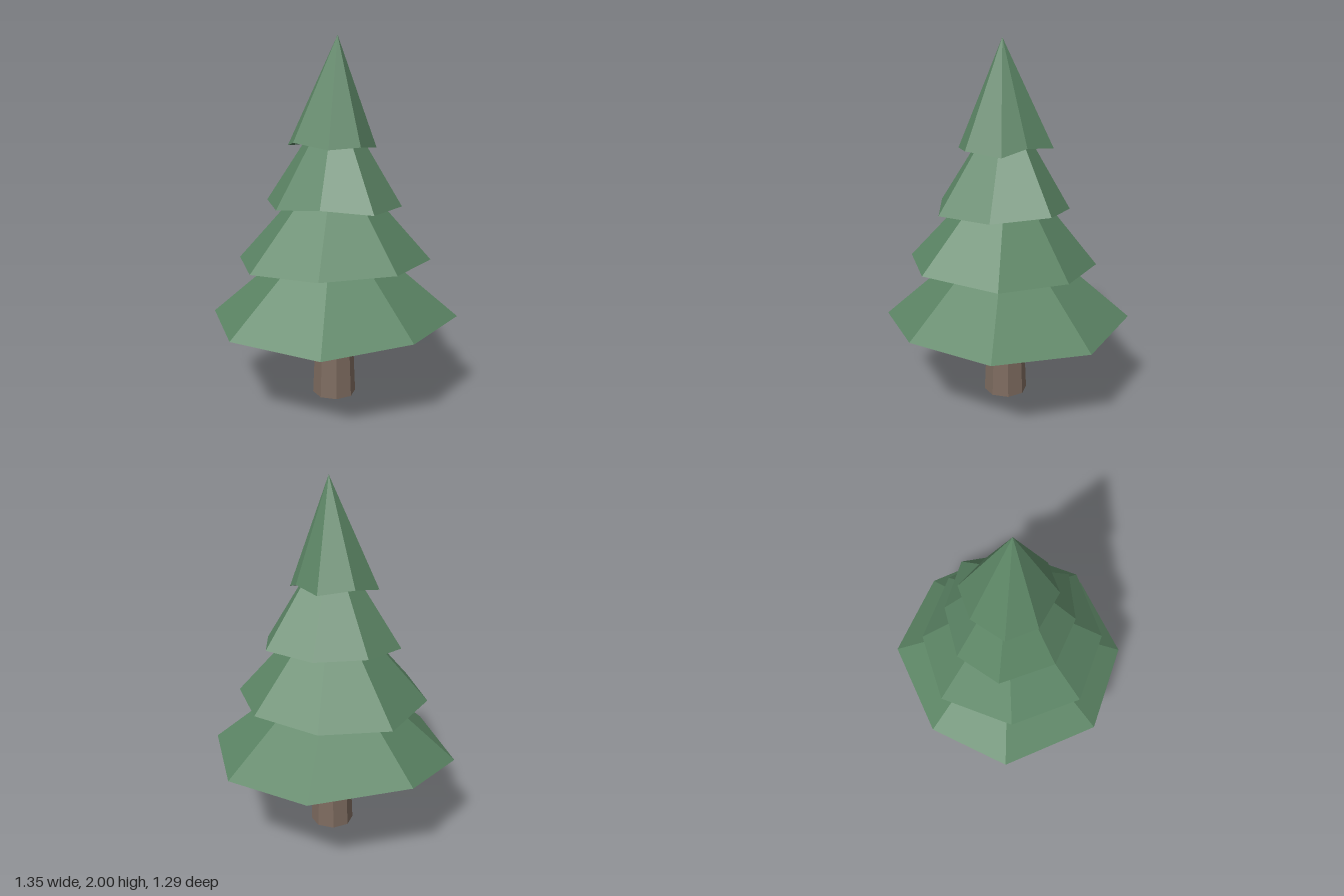
import * as THREE from 'three';

// Each tier: apex [x, y, z] and eight uneven rim corners [x, y, z]
const TIERS = [
  { name: 'bottomBranches', apex: [0, 1.05, 0], rim: [
    [-0.14, 0.49, -0.65], [0.41, 0.48, -0.55], [0.67, 0.46, -0.11], [0.56, 0.48, 0.41],
    [0.11, 0.475, 0.645], [-0.38, 0.45, 0.57], [-0.68, 0.465, 0.145], [-0.555, 0.45, -0.415]] },
  { name: 'lowerBranches', apex: [0.01, 1.39, 0], rim: [
    [-0.085, 0.77, -0.525], [0.285, 0.775, -0.41], [0.5, 0.79, -0.08], [0.445, 0.795, 0.305],
    [0.07, 0.81, 0.545], [-0.32, 0.8, 0.435], [-0.545, 0.79, 0.105], [-0.44, 0.785, -0.29]] },
  { name: 'upperBranches', apex: [0.01, 1.7, 0.01], rim: [
    [-0.03, 1.11, -0.355], [0.24, 1.105, -0.255], [0.405, 1.125, -0.03], [0.28, 1.1, 0.26],
    [0.01, 1.1, 0.415], [-0.23, 1.125, 0.28], [-0.365, 1.1, 0.045], [-0.28, 1.105, -0.26]] },
  { name: 'topBranches', apex: [0.01, 2, 0.03], rim: [
    [-0.01, 1.45, -0.24], [0.18, 1.43, -0.185], [0.215, 1.45, 0], [0.19, 1.41, 0.14],
    [0.02, 1.43, 0.26], [-0.145, 1.42, 0.215], [-0.245, 1.445, 0.01], [-0.195, 1.415, -0.16]] },
];

// Closed faceted cone: sloping sides plus a fan underneath
function tierGeometry(apex, rim) {
  const n = rim.length;
  const base = [0, 1, 2].map(k => rim.reduce((sum, p) => sum + p[k], 0) / n);
  const points = [];
  rim.forEach((p, i) => {
    const next = rim[(i + 1) % n];
    points.push(...next, ...p, ...apex);
    points.push(...p, ...next, ...base);
  });
  const geometry = new THREE.BufferGeometry();
  geometry.setAttribute('position', new THREE.Float32BufferAttribute(points, 3));
  geometry.computeVertexNormals();
  return geometry;
}

export function createModel() {
  const tree = new THREE.Group();
  tree.name = 'pineTree';

  const foliage = new THREE.MeshStandardMaterial({ color: 0x5b8464 });
  foliage.name = 'foliageGreen';
  foliage.flatShading = true;
  const bark = new THREE.MeshStandardMaterial({ color: 0x7d6b5f });
  bark.name = 'barkBrown';
  bark.flatShading = true;

  // Tapered eight-sided trunk, its top hidden inside the lowest tier
  const trunk = new THREE.Mesh(
    new THREE.CylinderGeometry(0.095, 0.122, 0.6, 8, 1, false, Math.PI / 8), bark);
  trunk.name = 'trunk';
  trunk.position.set(0.003, 0.3, 0.008);
  tree.add(trunk);

  // Stacked foliage tiers
  for (const { name, apex, rim } of TIERS) {
    const tier = new THREE.Mesh(tierGeometry(apex, rim), foliage);
    tier.name = name;
    tree.add(tier);
  }
  return tree;
}
